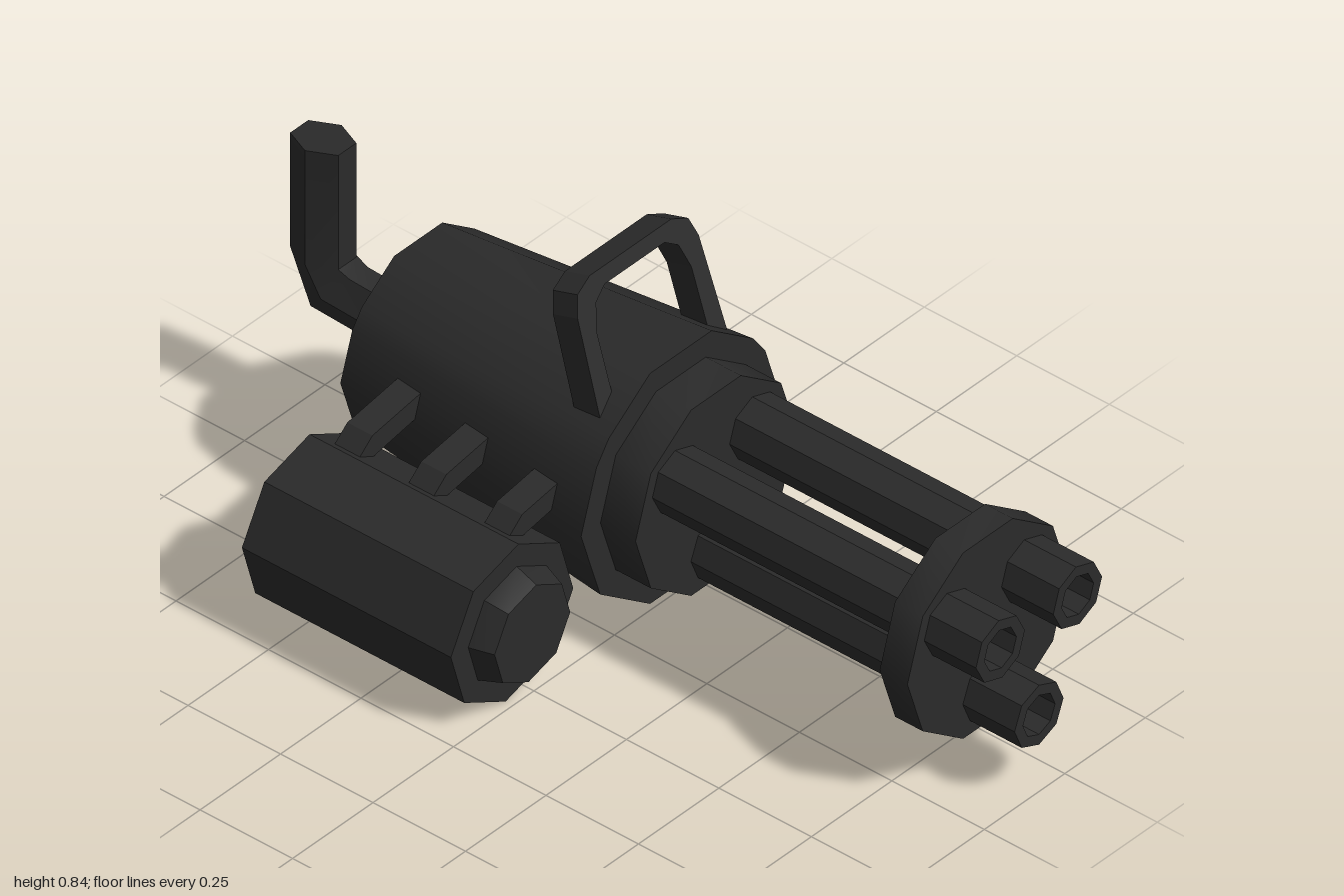
import * as THREE from 'three';
import { toCreasedNormals } from 'three/addons/utils/BufferGeometryUtils.js';

const material = new THREE.MeshStandardMaterial({ color: 0x2b2b2b });
const CX = 0.172, CY = 0.35; // main axis

// Joins cross-sections (counter-clockwise about the direction of travel) and caps both ends
function loft(rings) {
  const n = rings[0].length, pos = [], idx = [];
  rings.forEach(r => r.forEach(p => pos.push(...p)));
  for (let k = 0; k < rings.length - 1; k++) {
    for (let i = 0; i < n; i++) {
      const a = k * n + i, b = k * n + (i + 1) % n;
      idx.push(a, b, b + n, a, b + n, a + n);
    }
  }
  const last = (rings.length - 1) * n;
  for (let i = 1; i < n - 1; i++) {
    idx.push(0, i + 1, i, last, last + i, last + i + 1);
  }
  const g = new THREE.BufferGeometry();
  g.setAttribute('position', new THREE.Float32BufferAttribute(pos, 3));
  g.setIndex(idx);
  return toCreasedNormals(g, 0.68);
}

// Regular polygon ring across z
function ring(x, y, z, r, sides, startDeg = 0) {
  return Array.from({ length: sides }, (_, i) => {
    const a = THREE.MathUtils.degToRad(startDeg) + i * Math.PI * 2 / sides;
    return [x + r * Math.cos(a), y + r * Math.sin(a), z];
  });
}

// Stepped round part: stations of [z, radius] from back to front
const turned = (x, y, sides, start, stations) =>
  loft(stations.map(([z, r]) => ring(x, y, z, r, sides, start)));

// Decagon with its two upper side corners cut off
function bodyRing(z, r) {
  const pts = [];
  for (let i = 0; i < 10; i++) {
    const angles = i === 1 ? [29.5, 42] : i === 4 ? [138, 150.5] : [i * 36];
    for (const d of angles) {
      const a = THREE.MathUtils.degToRad(d), s = angles.length > 1 ? r * 0.972 : r;
      pts.push([CX + s * Math.cos(a), CY + s * Math.sin(a), z]);
    }
  }
  return pts;
}

function extrude(points, depth) {
  const shape = new THREE.Shape(points.map(p => new THREE.Vector2(...p)));
  return new THREE.ExtrudeGeometry(shape, { depth, bevelEnabled: false });
}

export function createModel() {
  const model = new THREE.Group();
  const add = (name, geometry) => {
    const mesh = new THREE.Mesh(geometry, material);
    mesh.name = name;
    model.add(mesh);
    return mesh;
  };

  // Tapered housing with a stepped rear cap and front collar
  add('housing', loft([bodyRing(-0.68, 0.242), bodyRing(0.03, 0.31)]));
  add('rearCap', turned(CX, CY, 10, 0, [[-0.69, 0.17], [-0.75, 0.118]].reverse().concat([[-0.67, 0.17]])));
  add('frontCollar', turned(CX, CY, 10, 0, [[0.02, 0.25], [0.125, 0.25]]));

  // Three hollow barrels and the ring that clamps them
  for (const [x, y] of [[0.05, 0.437], [0.29, 0.437], [0.17, 0.2]]) {
    add('barrel', turned(x, y, 8, x === 0.17 ? 0 : 4,
      [[0.12, 0.076], [1, 0.076], [1, 0.05], [0.92, 0.05]]));
  }
  add('barrelClamp', turned(CX, CY, 10, 0, [[0.785, 0.25], [0.86, 0.25]]));

  // Rear grip: a hexagonal bar bent upward; each station is inner and outer [y, z]
  const gripStations = [
    [[0.41, -0.74], [0.285, -0.74]],
    [[0.415, -0.84], [0.295, -0.945]],
    [[0.425, -0.87], [0.42, -1]],
    [[0.717, -0.87], [0.711, -1]],
  ];
  const hex = [[-0.028, 0], [0.028, 0], [0.057, 0.5], [0.028, 1], [-0.028, 1], [-0.057, 0.5]];
  add('rearGrip', loft(gripStations.map(([p, q]) => hex.map(([w, t]) =>
    [0.17 + w, p[0] + (q[0] - p[0]) * t, p[1] + (q[1] - p[1]) * t]))));

  // Carrying handle: half outline mirrored, leaning backward
  const tilt = 0.31, baseY = 0.56;
  const outer = [[0.198, 0.555], [0.188, 0.78], [0.172, 0.825], [0.127, 0.845]];
  const inner = [[0.093, 0.81], [0.128, 0.787], [0.147, 0.73], [0.149, 0.555]];
  const flip = pts => pts.map(([x, y]) => [-x, y]).reverse();
  const outline = [...outer, ...flip(outer), ...flip(inner), ...inner]
    .map(([x, y]) => [x, (y - baseY) / Math.cos(tilt)]);
  const handle = add('carryHandle', extrude(outline, 0.07).translate(0, 0, -0.07));
  handle.position.set(CX, baseY, -0.015);
  handle.rotation.x = -tilt;

  // Side drum with a bevelled front cap
  add('drum', turned(-0.295, 0.194, 8, -6, [[-0.585, 0.191], [-0.02, 0.191]]));
  add('drumCap', turned(-0.295, 0.194, 8, -6, [[-0.03, 0.137], [-0.02, 0.137], [0.035, 0.118]]));

  // Bent brackets holding the drum
  const bracket = [[-0.03, 0.433], [-0.215, 0.405], [-0.275, 0.355], [-0.21, 0.35], [-0.03, 0.38]];
  for (const z of [-0.535, -0.335, -0.13]) {
    add('drumBracket', extrude(bracket, 0.068)).position.z = z;
  }
  return model;
}
